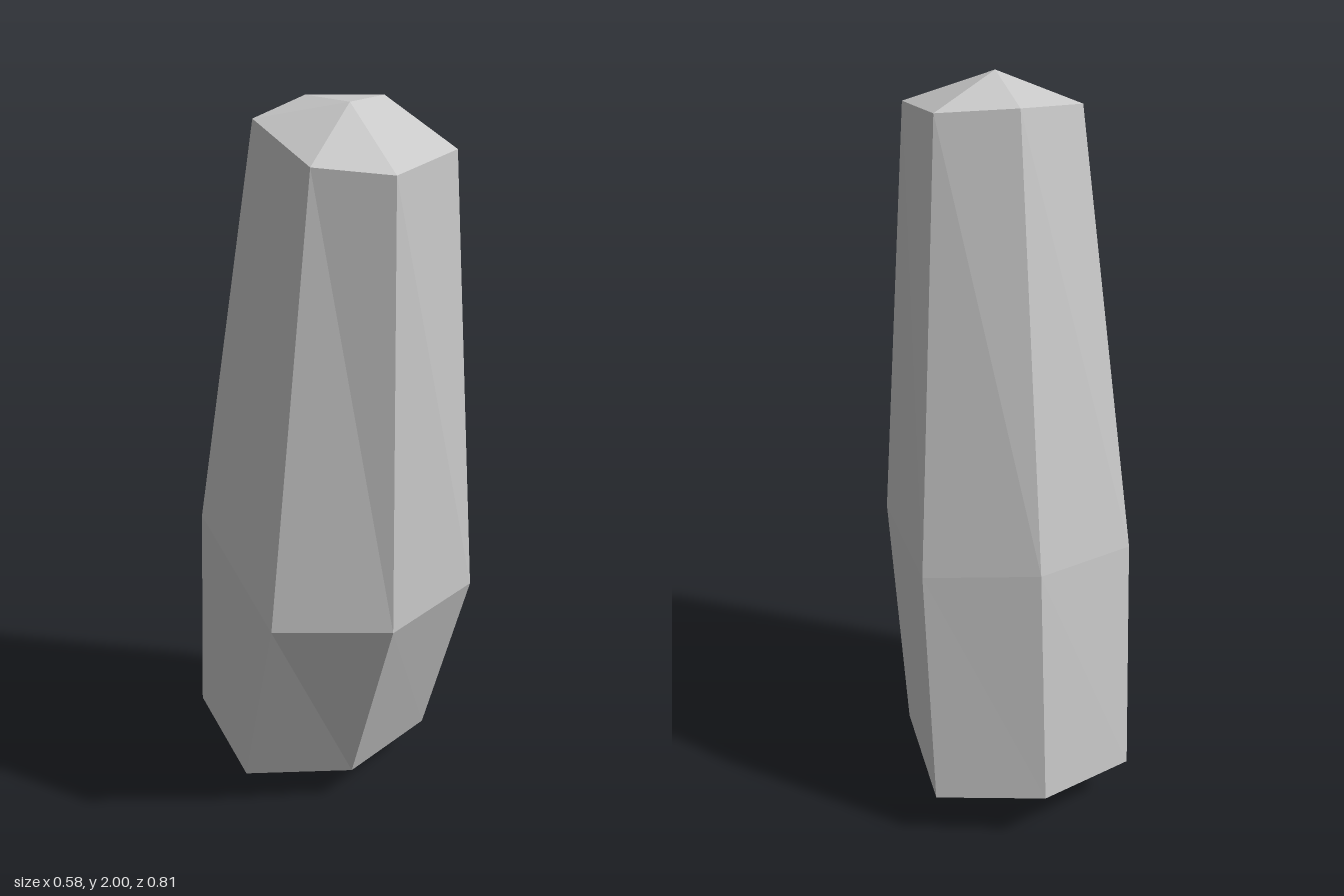
import * as THREE from 'three';

// Faceted six-sided stone: rings of six corners from foot to crown, closed by two points.
export function createModel() {
  const group = new THREE.Group();
  group.name = 'stone';

  // each ring starts at the front and runs by the left side (+x) to the back and round
  const rings = [
    [[0, 0.1, 0.18], [0.285, 0.115, 0.08], [0.285, 0.13, -0.31], [0, 0.145, -0.405], [-0.27, 0.13, -0.295], [-0.285, 0.115, 0.08]],
    [[0, 0.7, 0.405], [0.29, 0.715, 0.3], [0.29, 0.8, -0.235], [0, 0.82, -0.335], [-0.275, 0.8, -0.22], [-0.29, 0.715, 0.29]],
    [[0, 1.885, 0.37], [0.208, 1.9, 0.28], [0.197, 1.957, -0.065], [0, 1.967, -0.11], [-0.178, 1.945, -0.025], [-0.168, 1.9, 0.275]],
  ];
  const footPoint = [0, 0, -0.12];
  const crownPoint = [0, 2, 0.135];

  const material = new THREE.MeshStandardMaterial({ color: 0xcccccc, flatShading: true });
  const addPart = (name, triangles) => {
    const geometry = new THREE.BufferGeometry();
    geometry.setAttribute('position', new THREE.Float32BufferAttribute(triangles.flat(), 3));
    geometry.computeVertexNormals();
    const mesh = new THREE.Mesh(geometry, material);
    mesh.name = name;
    group.add(mesh);
  };

  // wall between two rings
  const band = (low, high) => low.flatMap((a, i) => {
    const j = (i + 1) % low.length;
    return [a, low[j], high[i], low[j], high[j], high[i]];
  });
  // fan from a ring to a point
  const cap = (ring, tip, up) => ring.flatMap((a, i) => {
    const b = ring[(i + 1) % ring.length];
    return up ? [a, b, tip] : [b, a, tip];
  });

  addPart('foot', cap(rings[0], footPoint, false));
  addPart('lowerBody', band(rings[0], rings[1]));
  addPart('upperBody', band(rings[1], rings[2]));
  addPart('crown', cap(rings[2], crownPoint, true));
  return group;
}
